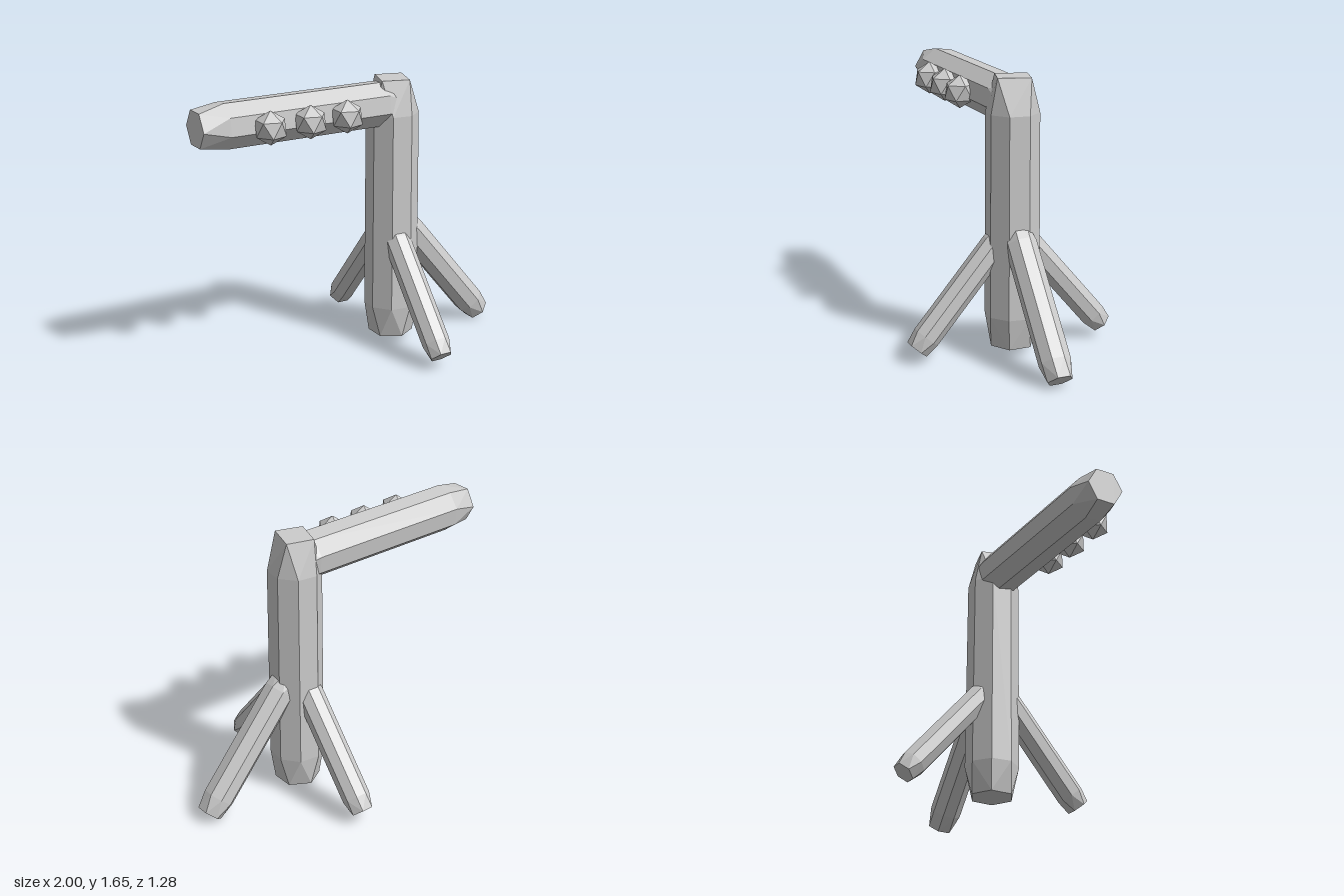
import * as THREE from 'three';
import { ConvexGeometry } from 'three/addons/geometries/ConvexGeometry.js';

const V = (x, y, z) => new THREE.Vector3(x, y, z);
const material = new THREE.MeshStandardMaterial({ color: 0xcccccc, flatShading: true });

function addHull(group, name, points) {
  const mesh = new THREE.Mesh(new ConvexGeometry(points), material);
  mesh.name = name;
  group.add(mesh);
  return mesh;
}

// Points of a polygon around a centre, in the plane of the axes u and w
function ring(centre, u, w, radius, sides, turn = 0) {
  return Array.from({ length: sides }, (_, i) => {
    const a = turn + (i / sides) * Math.PI * 2;
    return centre.clone()
      .addScaledVector(u, radius * Math.cos(a))
      .addScaledVector(w, radius * Math.sin(a));
  });
}

// Faceted limb: hexagonal caps joined to a thicker eight-sided body
function limb(group, name, tip, root, u, radius, capRadius, taper) {
  const dir = root.clone().sub(tip).normalize();
  const w = V(0, 0, 0).crossVectors(dir, u).normalize();
  const turn = Math.PI / 12;
  addHull(group, name, [
    ...ring(tip, u, w, capRadius, 6),
    ...ring(tip.clone().addScaledVector(dir, taper), u, w, radius, 8, turn),
    ...ring(root.clone().addScaledVector(dir, -taper), u, w, radius, 8, turn),
    ...ring(root, u, w, capRadius, 6),
  ]);
}

export function createModel() {
  const group = new THREE.Group();
  const X = V(1, 0, 0), Z = V(0, 0, 1);

  // Upright post: hexagonal foot, eight-sided body, four-sided skewed top
  const turn = Math.PI / 12;
  addHull(group, 'post', [
    ...ring(V(0.288, 0.05, 0), Z, X, 0.135, 6),
    ...ring(V(0.288, 0.24, 0), Z, X, 0.163, 8, turn),
    ...ring(V(0.288, 1.45, 0), Z, X, 0.158, 8, turn),
    V(0.235, 1.66, -0.115), V(0.395, 1.66, -0.07),
    V(0.335, 1.66, 0.115), V(0.175, 1.66, 0.065),
  ]);

  // Horizontal arm
  limb(group, 'arm', V(-1, 1.515, -0.004), V(0.36, 1.51, -0.004), Z, 0.14, 0.115, 0.16);

  // Three splayed legs
  limb(group, 'sideLeg', V(0.945, 0.05, 0), V(0.34, 0.78, 0), Z, 0.094, 0.077, 0.11);
  for (const s of [1, -1]) {
    limb(group, s > 0 ? 'frontLeg' : 'backLeg',
      V(0.268, 0.088, 0.595 * s), V(0.268, 0.735, 0.043 * s), X, 0.083, 0.07, 0.09);
  }

  // Row of knobs on the front of the arm
  const r = 0.1;
  for (const x of [-0.615, -0.36, -0.12]) {
    const knob = addHull(group, 'knob', [
      V(0, r, 0), V(0, -r, 0),
      ...ring(V(0, r * 0.447, 0), X, Z, r * 0.894, 5),
      ...ring(V(0, -r * 0.447, 0), X, Z, r * 0.894, 5, Math.PI),
    ]);
    knob.position.set(x, 1.508, 0.16);
  }
  return group;
}
